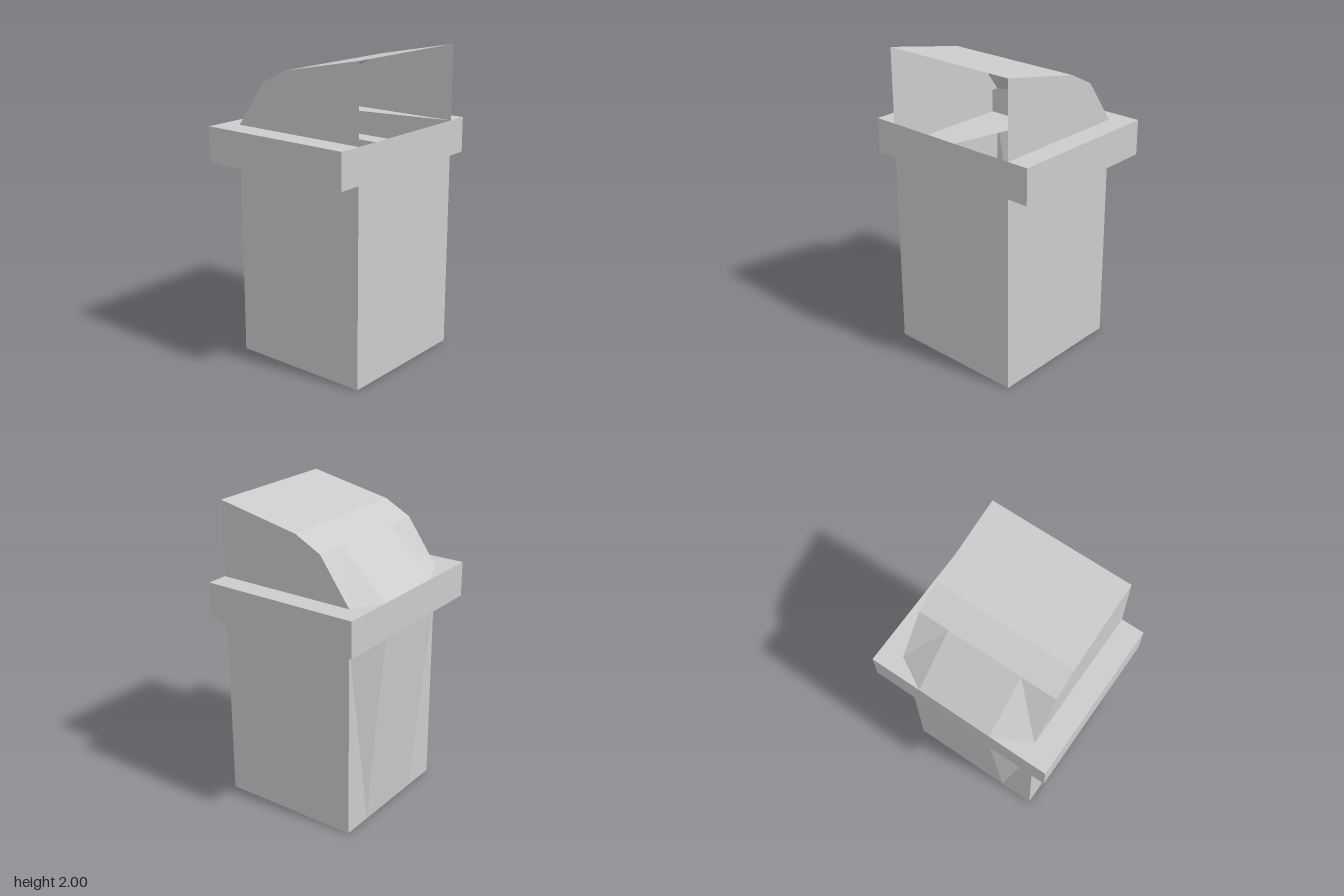
import * as THREE from 'three';

const grey = new THREE.MeshStandardMaterial({ color: 0xcccccc, side: THREE.DoubleSide });
grey.name = 'plain grey';

// Flat-sided shell from polygons; each is fanned from its first corner
function shell(name, polygons) {
  const pos = [];
  for (const p of polygons)
    for (let i = 1; i < p.length - 1; i++) pos.push(...p[0], ...p[i], ...p[i + 1]);
  const g = new THREE.BufferGeometry();
  g.setAttribute('position', new THREE.Float32BufferAttribute(pos, 3));
  g.computeVertexNormals();
  const mesh = new THREE.Mesh(g, grey);
  mesh.name = name;
  return mesh;
}

// Main levels and extents
const X = 0.527, XB = -0.415, XN = -0.53;
const RIM_LOW = 1.285, RIM_TOP = 1.515;
// Per side: body wall, corner of the bulging nose, outer rim
const front = { wall: 0.465, nose: 0.228, rim: 0.617 };
const back = { wall: -0.477, nose: -0.273, rim: -0.617 };
const sides = [front, back];

// Keeps polygons facing outwards on both sides
const orient = (s, list) => (s === front ? list : list.map(p => [...p].reverse()));

export function createModel() {
  const group = new THREE.Group();
  const f = front, b = back;

  // Hollow body: floor, end wall, sloping nose panel, side walls and nose corners
  const body = [
    [[XB, 0, b.wall], [X, 0, b.wall], [X, 0, f.wall], [XB, 0, f.wall]],
    [[X, 0, f.wall], [X, 0, b.wall], [X, RIM_LOW, b.wall], [X, RIM_LOW, f.wall]],
    [[XB, 0, b.nose], [XB, 0, f.nose], [XN, RIM_LOW, f.nose], [XN, RIM_LOW, b.nose]],
  ];
  for (const s of sides) body.push(...orient(s, [
    [[XB, 0, s.wall], [X, 0, s.wall], [X, RIM_LOW, s.wall], [XB, RIM_LOW, s.wall]],
    [[XB, 0, s.nose], [XB, RIM_LOW, s.wall], [XN, RIM_LOW, s.nose]],
    [[XB, 0, s.nose], [XB, 0, s.wall], [XB, RIM_LOW, s.wall]],
  ]));
  group.add(shell('body', body));

  // Rim: hollow band with a ledge above and below on each side
  const rim = [
    [[X, RIM_LOW, f.rim], [X, RIM_LOW, b.rim], [X, RIM_TOP, b.rim], [X, RIM_TOP, f.rim]],
    [[XN, RIM_LOW, b.rim], [XN, RIM_LOW, f.rim], [XN, RIM_TOP, f.rim], [XN, RIM_TOP, b.rim]],
  ];
  for (const s of sides) {
    const ledge = y => [[XB, y, s.wall], [XN, y, s.nose], [XN, y, s.rim], [X, y, s.rim], [X, y, s.wall]];
    rim.push(...orient(s, [
      [[XN, RIM_LOW, s.rim], [X, RIM_LOW, s.rim], [X, RIM_TOP, s.rim], [XN, RIM_TOP, s.rim]],
      ledge(RIM_TOP),
      ledge(RIM_LOW).reverse(),
    ]));
  }
  group.add(shell('rim', rim));

  // Hood: open at the tall end, faceted at the nose
  const crest = [[-0.21, 1.8], [-0.035, 1.89], [X, 2]];
  const [cx, cy] = crest[0];
  const hood = [
    [[XN, RIM_TOP, b.nose], [XN, RIM_TOP, f.nose], [cx, cy, f.nose], [cx, cy, b.nose]],
  ];
  for (let i = 0; i < crest.length - 1; i++) {
    const p = crest[i], q = crest[i + 1];
    hood.push([[...p, b.wall], [...p, f.wall], [...q, f.wall], [...q, b.wall]]);
  }
  for (const s of sides) hood.push(...orient(s, [
    [[XB, RIM_TOP, s.wall], [X, RIM_TOP, s.wall], ...[...crest].reverse().map(p => [...p, s.wall])],
    [[XN, RIM_TOP, s.nose], [XB, RIM_TOP, s.wall], [cx, cy, s.nose]],
    [[XB, RIM_TOP, s.wall], [cx, cy, s.wall], [cx, cy, s.nose]],
  ]));
  group.add(shell('hood', hood));

  return group;
}
